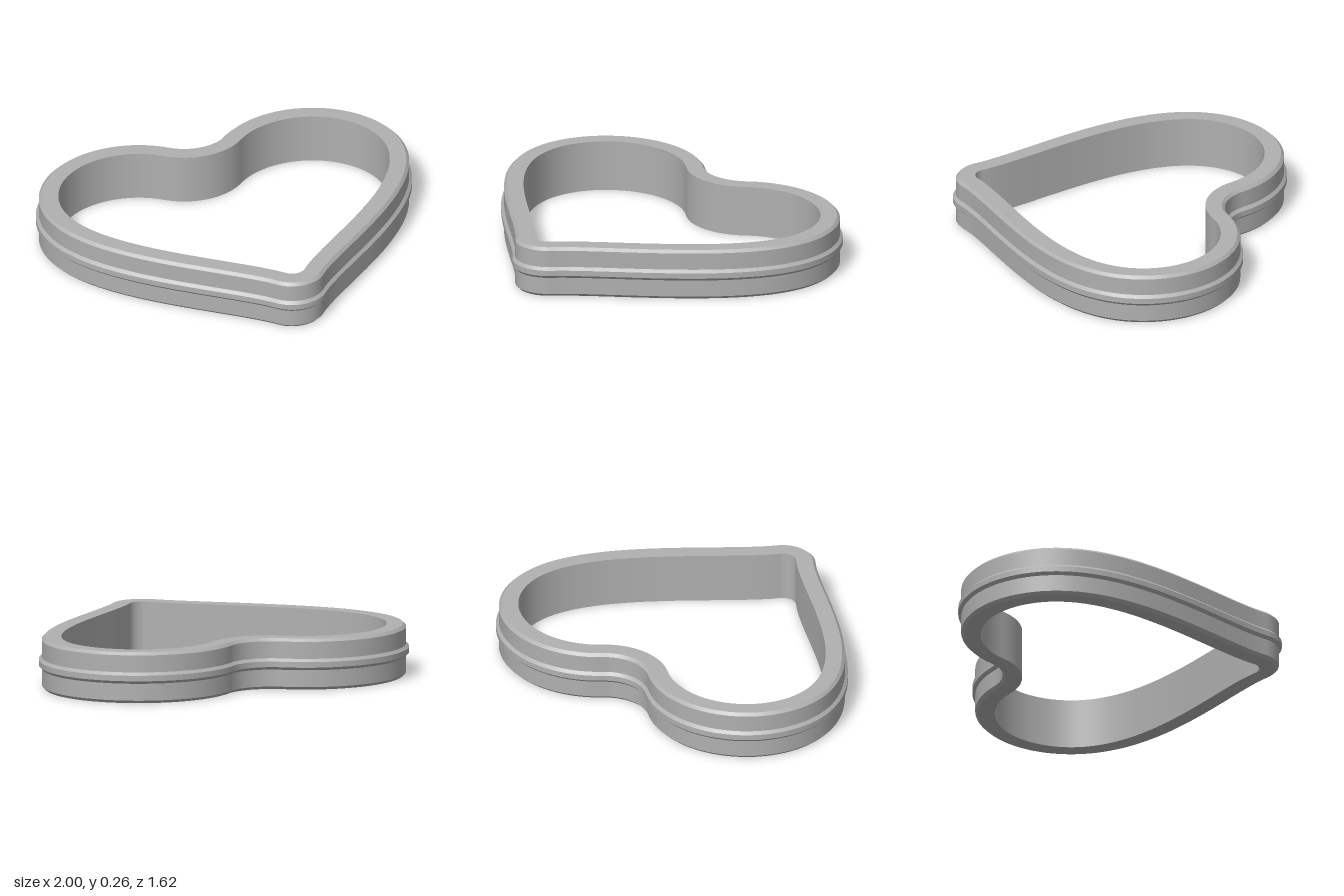
import * as THREE from 'three';

const WALL = 0.10, HEIGHT = 0.265, CHAMFER = 0.015;

// Inner heart outline as [x, z], from the dip round the +x lobe to the tip, then mirrored
function heartOutline() {
  const half = [];
  const lobe = { x: 0.48, z: -0.31, rx: 0.405, rz: 0.39 };
  const start = Math.atan2(0.751, 0.66);           // where the dip meets the lobe
  const dip = { z: -0.854, r: 0.329 }, dipSweep = Math.asin(0.646);
  const tip = { z: 0.625, r: 0.07 }, tipSweep = Math.asin(0.75);

  // Concave dip
  for (let i = 0; i < 14; i++) {
    const a = dipSweep * i / 14;
    half.push([dip.r * Math.sin(a), dip.z + dip.r * Math.cos(a)]);
  }
  // Round lobe
  for (let i = 0; i < 40; i++) {
    const a = start + (Math.PI - start) * i / 40;
    half.push([lobe.x - lobe.rx * Math.cos(a), lobe.z - lobe.rz * Math.sin(a)]);
  }
  // Long flank
  const flank = new THREE.CubicBezierCurve(
    new THREE.Vector2(0.885, -0.31), new THREE.Vector2(0.885, 0.09),
    new THREE.Vector2(0.25, 0.443), new THREE.Vector2(0.0525, 0.671));
  for (let i = 0; i < 40; i++) {
    const p = flank.getPoint(i / 40);
    half.push([p.x, p.y]);
  }
  // Rounded tip
  for (let i = 0; i <= 12; i++) {
    const a = tipSweep * (1 - i / 12);
    half.push([tip.r * Math.sin(a), tip.z + tip.r * Math.cos(a)]);
  }
  const mirrored = half.slice(1, -1).reverse().map(([x, z]) => [-x, z]);
  return half.concat(mirrored);
}

// Sweep a profile of [outward offset, y] round the outline:
// smooth along the path, sharp between profile faces
function sweep(outline, profile) {
  const n = outline.length, position = [], normal = [], index = [];
  const outward = outline.map((_, i) => {
    const p = outline[(i + n - 1) % n], q = outline[(i + 1) % n];
    const dx = q[0] - p[0], dz = q[1] - p[1], len = Math.hypot(dx, dz);
    return [dz / len, -dx / len];
  });
  for (let k = 0; k < profile.length - 1; k++) {
    const ends = [profile[k], profile[k + 1]];
    const dOff = ends[1][0] - ends[0][0], dY = ends[1][1] - ends[0][1];
    const len = Math.hypot(dOff, dY), base = position.length / 3;
    for (let i = 0; i < n; i++) {
      const [x, z] = outline[i], [nx, nz] = outward[i];
      for (const [off, y] of ends) {
        position.push(x + nx * off, y, z + nz * off);
        normal.push(nx * dY / len, -dOff / len, nz * dY / len);
      }
      const a = base + 2 * i, c = base + 2 * ((i + 1) % n);
      index.push(a, a + 1, c, c, a + 1, c + 1);
    }
  }
  const geometry = new THREE.BufferGeometry();
  geometry.setAttribute('position', new THREE.Float32BufferAttribute(position, 3));
  geometry.setAttribute('normal', new THREE.Float32BufferAttribute(normal, 3));
  geometry.setIndex(index);
  return geometry;
}

export function createModel() {
  const group = new THREE.Group();
  group.name = 'heartRing';
  const grey = new THREE.MeshStandardMaterial({ color: 0xb0b0b0 });
  grey.name = 'grey';
  const outline = heartOutline();
  const add = (name, profile) => {
    const mesh = new THREE.Mesh(sweep(outline, profile), grey);
    mesh.name = name;
    group.add(mesh);
  };

  // Wall with chamfered outer rims
  add('heartWall', [
    [0, 0], [WALL - CHAMFER, 0], [WALL, CHAMFER], [WALL, HEIGHT - CHAMFER],
    [WALL - CHAMFER, HEIGHT], [0, HEIGHT], [0, 0],
  ]);
  // Raised band round the middle of the wall
  add('raisedBand', [
    [WALL, 0.103], [WALL + 0.015, 0.118], [WALL + 0.015, 0.147], [WALL, 0.162],
  ]);
  return group;
}
